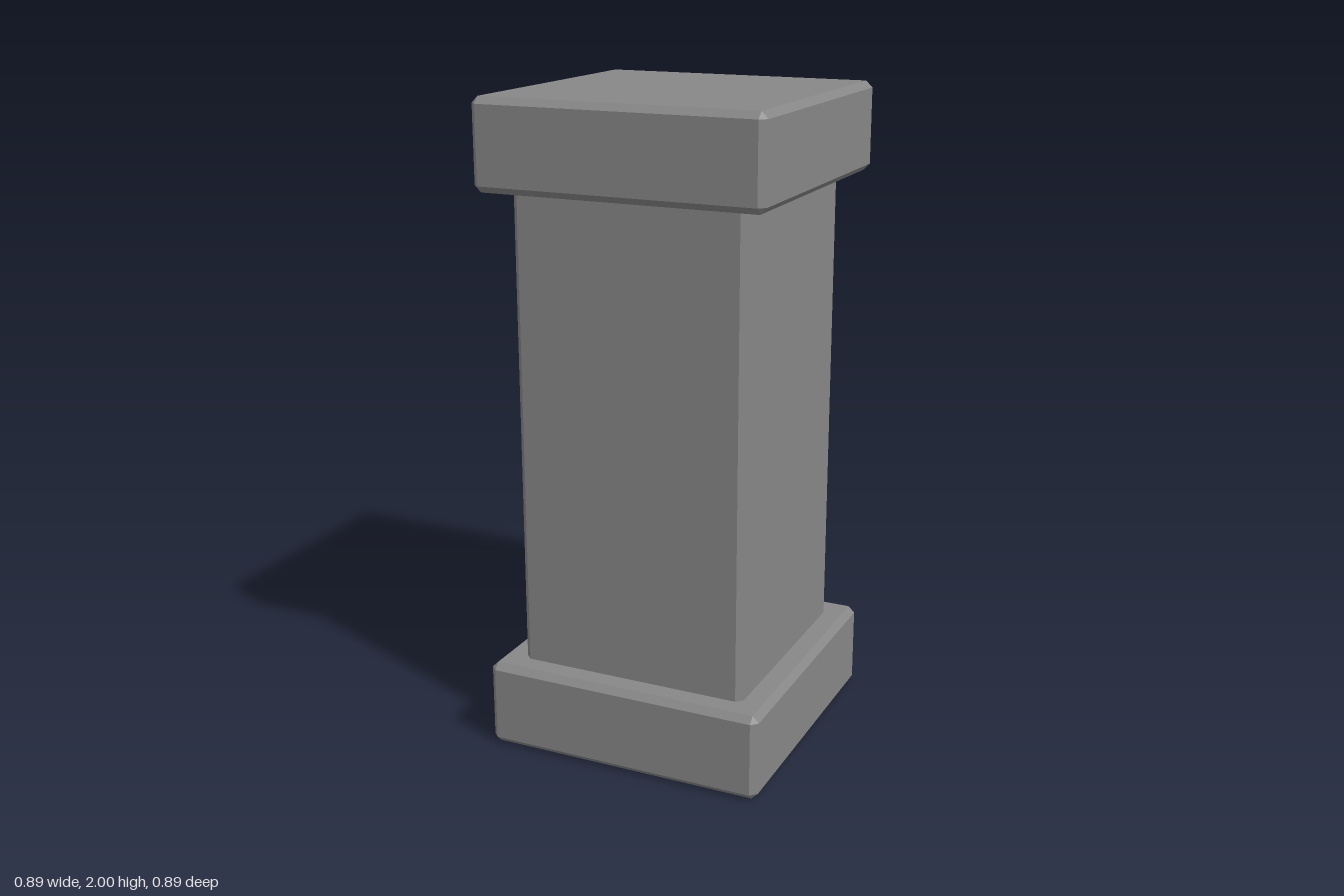
import * as THREE from 'three';
import { ConvexGeometry } from 'three/addons/geometries/ConvexGeometry.js';

const material = new THREE.MeshStandardMaterial({ color: 0x878787, flatShading: true });

// Square block with every edge chamfered by c
function chamferedBlock(name, half, y0, y1, c) {
  const points = [];
  const h = (y1 - y0) / 2;
  for (const sx of [-1, 1]) for (const sy of [-1, 1]) for (const sz of [-1, 1]) {
    points.push(
      new THREE.Vector3(sx * half, sy * (h - c), sz * (half - c)),
      new THREE.Vector3(sx * (half - c), sy * h, sz * (half - c)),
      new THREE.Vector3(sx * (half - c), sy * (h - c), sz * half)
    );
  }
  const mesh = new THREE.Mesh(new ConvexGeometry(points), material);
  mesh.name = name;
  mesh.position.y = (y0 + y1) / 2;
  return mesh;
}

export function createModel() {
  const pillar = new THREE.Group();
  pillar.name = 'pillar';
  pillar.add(
    chamferedBlock('base', 0.445, 0, 0.27, 0.02),
    // The shaft ends are sunk slightly into the base and cap
    chamferedBlock('shaft', 0.365, 0.25, 1.75, 0.02),
    chamferedBlock('cap', 0.445, 1.73, 2, 0.02)
  );
  return pillar;
}
